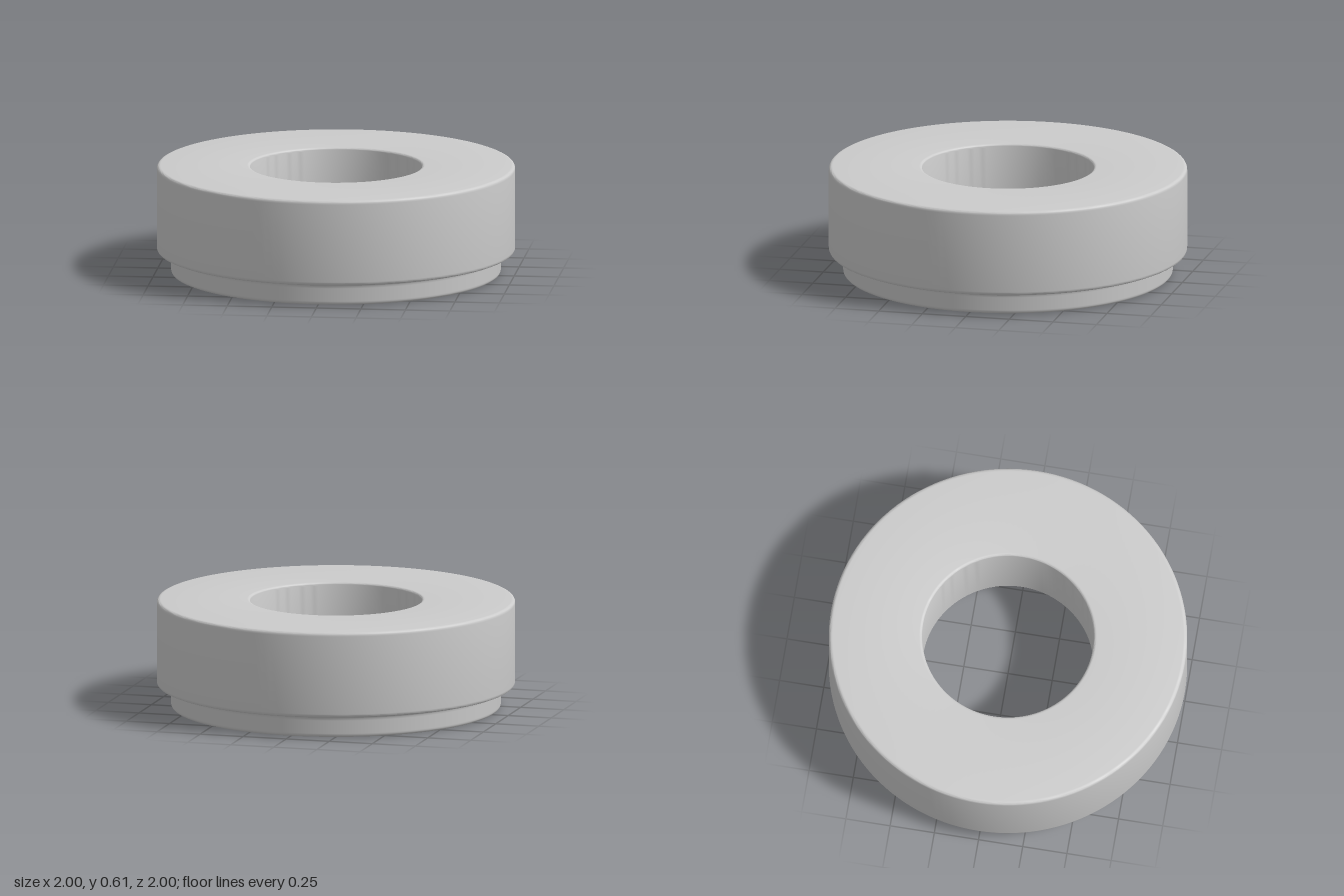
import * as THREE from 'three';
import { toCreasedNormals } from 'three/addons/utils/BufferGeometryUtils.js';

// Corners of the ring's cross-section: radius, height, rounding of the corner
const CORNERS = [
  [0.68, 0, 0],         // recess mouth
  [0.92, 0, 0.022],     // foot, lower edge
  [0.92, 0.125, 0.03],  // groove where the foot meets the body
  [1, 0.125, 0.022],    // body, lower edge
  [1, 0.61, 0.022],     // body, upper edge
  [0.478, 0.61, 0.018], // bore, upper edge
  [0.478, 0.118, 0],    // bore, lower edge
  [0.68, 0.118, 0.02],  // recess ceiling
];

// Closed outline with each corner replaced by a small curve
function roundedProfile(corners, steps = 5) {
  const at = i => new THREE.Vector2(...corners[(i + corners.length) % corners.length].slice(0, 2));
  const points = [];
  corners.forEach(([, , r], i) => {
    const p = at(i);
    if (r === 0) { points.push(p); return; }
    const toward = q => p.clone().add(q.sub(p).setLength(r));
    const a = toward(at(i - 1)), b = toward(at(i + 1));
    points.push(...new THREE.QuadraticBezierCurve(a, p, b).getPoints(steps));
  });
  points.push(points[0].clone());
  return points;
}

export function createModel() {
  const group = new THREE.Group();
  group.name = 'steppedRing';

  // Whole ring: body, stepped foot, through bore and underside recess
  const lathe = new THREE.LatheGeometry(roundedProfile(CORNERS), 128);
  const ring = new THREE.Mesh(
    toCreasedNormals(lathe, Math.PI / 5),
    new THREE.MeshStandardMaterial({ color: 0xcccccc })
  );
  ring.name = 'ringBody';
  group.add(ring);
  return group;
}
